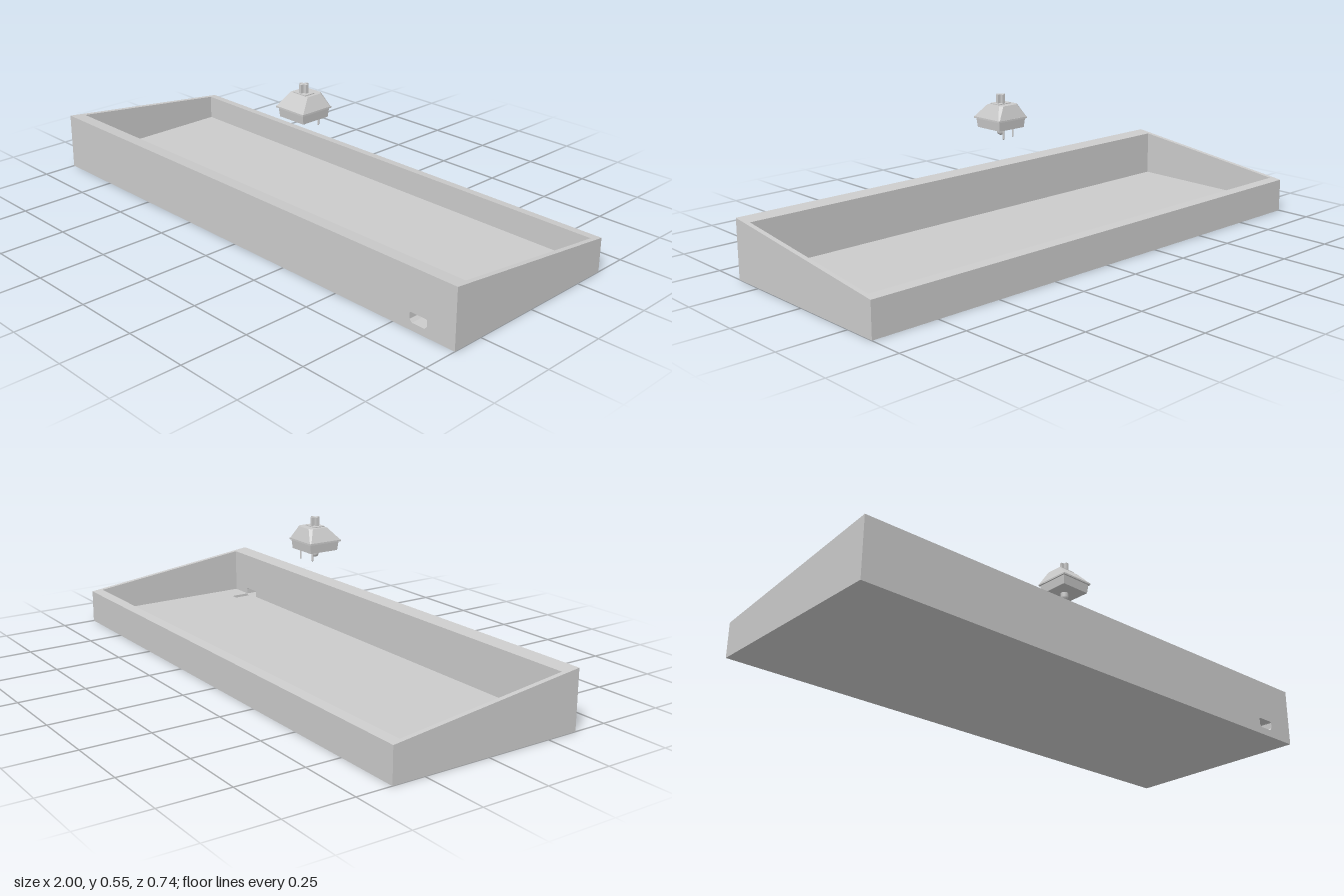
import * as THREE from 'three';
import { ConvexGeometry } from 'three/addons/geometries/ConvexGeometry.js';

const mat = new THREE.MeshStandardMaterial({ color: 0xcccccc });
const W = 1, D = 0.37, SIDE = 0.018;           // half width, half depth, side wall
const Z_IN = 0.312, Z_BACK = -0.333;           // inner faces of front and back walls
const FLOOR = 0.037, POCKET = 0.027;
const topY = z => 0.1705 + 0.1205 * z;         // sloping rim

function add(group, geometry, name, x = 0, y = 0, z = 0) {
  const mesh = new THREE.Mesh(geometry, mat);
  mesh.name = name;
  mesh.position.set(x, y, z);
  group.add(mesh);
  return mesh;
}

const shapeOf = pts => new THREE.Shape(pts.map(p => new THREE.Vector2(...p)));
const extrude = (shape, depth) =>
  new THREE.ExtrudeGeometry(shape, { depth, bevelEnabled: false, curveSegments: 6 });

// Wall between z0 and z1 whose upper edge follows the sloping rim
function rimWall(z0, z1, hole) {
  const x = W - SIDE;
  const shape = shapeOf([[-x, 0], [x, 0], [x, 1], [-x, 1]]);
  if (hole) shape.holes.push(hole);
  const geo = extrude(shape, z1 - z0).translate(0, 0, z0);
  const p = geo.attributes.position;
  for (let i = 0; i < p.count; i++) if (p.getY(i) > 0.9) p.setY(i, topY(p.getZ(i)));
  geo.computeVertexNormals();
  return geo;
}

// Solid between rectangles [halfX, zBack, zFront, y, backCornerCut]
function loft(...levels) {
  const pts = [];
  for (const [hx, zb, zf, y, cut = 0] of levels)
    for (const s of [-1, 1]) {
      pts.push(new THREE.Vector3(s * hx, y, zf));
      pts.push(new THREE.Vector3(s * hx, y, zb + cut));
      if (cut) pts.push(new THREE.Vector3(s * (hx - cut), y, zb));
    }
  return new ConvexGeometry(pts);
}

function buildCase() {
  const g = new THREE.Group();
  g.name = 'case';

  // Side walls
  const side = shapeOf([[-D, 0], [D, 0], [D, topY(D)], [-D, topY(-D)]]);
  for (const s of [-1, 1]) {
    const geo = extrude(side, SIDE).rotateY(-Math.PI / 2); // shape x -> z
    add(g, geo, s > 0 ? 'leftWall' : 'rightWall', s > 0 ? W : -W + SIDE);
  }

  // Front wall with cable port, plain back wall
  const port = new THREE.Path([
    [0.829, POCKET], [0.879, POCKET], [0.889, FLOOR], [0.889, 0.059],
    [0.886, 0.062], [0.822, 0.062], [0.819, 0.059], [0.819, FLOOR],
  ].map(p => new THREE.Vector2(...p)));
  add(g, rimWall(Z_IN, D, port), 'frontWall');
  add(g, rimWall(-D, Z_BACK), 'backWall');

  // Base slab, then floor layer with the connector pocket notched out
  const xi = W - SIDE, len = Z_IN - Z_BACK;
  add(g, new THREE.BoxGeometry(2 * xi, POCKET, len), 'base', 0, POCKET / 2, (Z_IN + Z_BACK) / 2);
  const f = new THREE.Shape();
  f.moveTo(-xi, -Z_IN);
  f.lineTo(0.819, -Z_IN);
  f.lineTo(0.819, -0.245);
  f.quadraticCurveTo(0.819, -0.235, 0.829, -0.235);
  f.lineTo(0.879, -0.235);
  f.quadraticCurveTo(0.889, -0.235, 0.889, -0.245);
  f.lineTo(0.889, -Z_IN);
  f.lineTo(xi, -Z_IN);
  f.lineTo(xi, -Z_BACK);
  f.lineTo(-xi, -Z_BACK);
  add(g, extrude(f, FLOOR - POCKET).rotateX(-Math.PI / 2), 'floor', 0, POCKET);
  return g;
}

function buildSwitch() {
  const g = new THREE.Group();
  g.name = 'keySwitch';
  g.position.set(0.068, 0, 0.1);

  // Housing
  add(g, loft([0.0675, -0.066, 0.067, 0.464, 0.004], [0.043, -0.05, 0.0225, 0.511, 0.011]), 'upperHousing');
  add(g, new THREE.BoxGeometry(0.135, 0.006, 0.135), 'flange', 0, 0.461, 0.0005);
  add(g, loft([0.0585, -0.0585, 0.058, 0.425], [0.062, -0.062, 0.062, 0.459]), 'lowerHousing');

  // Stem: collar and cross
  add(g, new THREE.BoxGeometry(0.06, 0.008, 0.044), 'stemCollar', 0, 0.51, 0);
  add(g, new THREE.BoxGeometry(0.034, 0.034, 0.01), 'stemCrossX', 0, 0.528, 0);
  add(g, new THREE.BoxGeometry(0.01, 0.034, 0.034), 'stemCrossZ', 0, 0.528, 0);

  // Rounded locating peg
  const profile = [[0, 0.396], [0.005, 0.397], [0.01, 0.4], [0.013, 0.405], [0.014, 0.41], [0.014, 0.43]];
  add(g, new THREE.LatheGeometry(profile.map(p => new THREE.Vector2(...p)), 24), 'locatingPeg');

  // Contact pins
  for (const [x, z] of [[-0.03, -0.031], [0.027, -0.044]]) {
    add(g, new THREE.CylinderGeometry(0.0033, 0.0033, 0.036, 12), 'contactPin', x, 0.41, z);
    add(g, new THREE.SphereGeometry(0.0033, 12, 8), 'pinTip', x, 0.392, z);
  }
  return g;
}

export function createModel() {
  const model = new THREE.Group();
  model.name = 'keyboardCaseWithSwitch';
  model.add(buildCase(), buildSwitch());
  return model;
}
